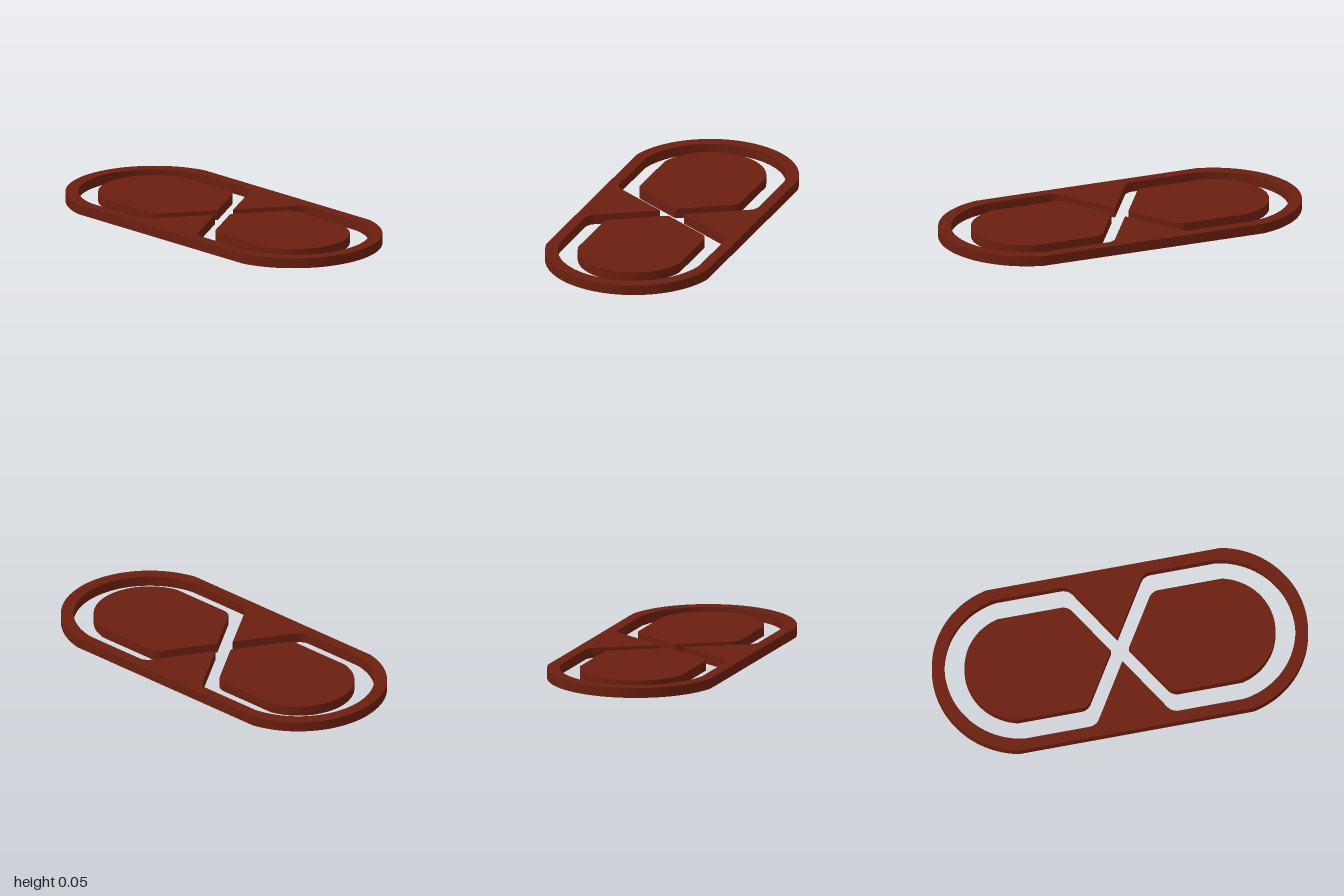
import * as THREE from 'three';

const HEIGHT = 0.054;
const ARC_X = 0.533; // centre shared by all the rounded ends

// Half outline on the +x side (s = 1), or turned half a circle (s = -1).
// Runs clockwise: inner tip, diagonal, softened corner, round end, and back.
function traceHalf(path, s, tip, corner, radius) {
  const [cx, cz] = corner;
  const turn = s > 0 ? 0 : Math.PI;
  const a = Math.asin(cz / radius);
  const dx = cx - tip[0], dz = cz - tip[1];
  const k = 0.04 / Math.hypot(dx, dz);
  const px = cx - dx * k, pz = cz - dz * k; // where the diagonal meets the corner
  path.lineTo(s * px, s * pz);
  path.quadraticCurveTo(s * cx, s * cz, s * (cx + 0.038), s * cz);
  path.absarc(s * ARC_X, 0, radius, a + turn, -a + turn, true);
  path.lineTo(s * (cx + 0.038), -s * cz);
  path.quadraticCurveTo(s * cx, -s * cz, s * px, -s * pz);
  path.lineTo(s * tip[0], -s * tip[1]);
}

function slab(name, shape, material) {
  const geometry = new THREE.ExtrudeGeometry(shape, { depth: HEIGHT, bevelEnabled: false, curveSegments: 48 });
  geometry.rotateX(-Math.PI / 2);
  const mesh = new THREE.Mesh(geometry, material);
  mesh.name = name;
  return mesh;
}

export function createModel() {
  const group = new THREE.Group();
  group.name = 'roundedEmblem';
  const material = new THREE.MeshStandardMaterial({ color: 0x6b1f10 });

  // Outer band with two wedges pointing at the middle
  const frame = new THREE.Shape();
  const a = Math.asin(0.457 / 0.467);
  frame.absarc(ARC_X, 0, 0.467, -a, a, false);
  frame.absarc(-ARC_X, 0, 0.467, Math.PI - a, Math.PI + a, false);
  frame.closePath();
  const opening = new THREE.Path();
  opening.moveTo(0, 0.067);
  for (const s of [1, -1]) traceHalf(opening, s, [0, 0.067], [0.203, 0.396], 0.4);
  frame.holes.push(opening);
  group.add(slab('frame', frame, material));

  // Two separate pads with a pointed inner end
  for (const s of [1, -1]) {
    const pad = new THREE.Shape();
    pad.moveTo(s * 0.048, 0);
    traceHalf(pad, s, [0.048, 0], [0.226, 0.287], 0.295);
    group.add(slab(s > 0 ? 'leftPad' : 'rightPad', pad, material));
  }
  return group;
}
